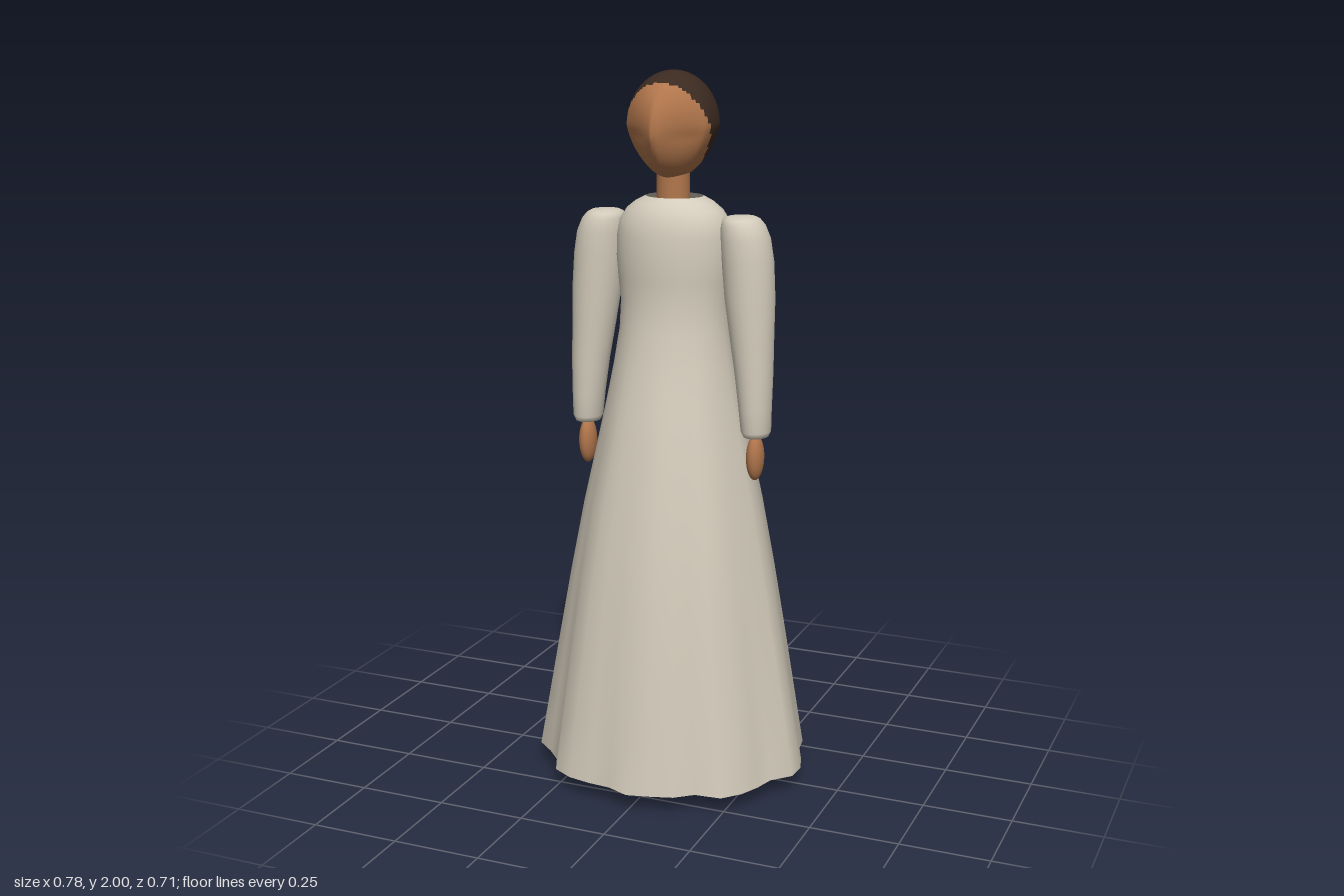
import * as THREE from 'three';

const fabric = new THREE.MeshStandardMaterial({ color: 0xd3cbbb, side: THREE.DoubleSide });
fabric.name = 'cream fabric';
const skin = new THREE.MeshStandardMaterial({ color: 0xb1764c });
skin.name = 'brown skin';
const hair = new THREE.MeshStandardMaterial({ color: 0x3b2a20 });
hair.name = 'dark hair';

// Closed rings stacked from bottom to top; point(row, column) returns [x, y, z]
function loft(rows, cols, point, isSecond) {
  const pos = [], first = [], second = [];
  for (let i = 0; i < rows; i++)
    for (let j = 0; j < cols; j++) pos.push(...point(i, j));
  for (let i = 0; i < rows - 1; i++)
    for (let j = 0; j < cols; j++) {
      const k = (j + 1) % cols;
      const a = i * cols + j, b = i * cols + k, c = b + cols, d = a + cols;
      (isSecond && isSecond(i, j) ? second : first).push(a, b, c, a, c, d);
    }
  const geo = new THREE.BufferGeometry();
  geo.setAttribute('position', new THREE.Float32BufferAttribute(pos, 3));
  geo.setIndex([...first, ...second]);
  geo.addGroup(0, first.length, 0);
  geo.addGroup(first.length, second.length, 1);
  geo.computeVertexNormals();
  return geo;
}

function add(parent, name, geo, mat, x = 0, y = 0, z = 0) {
  const mesh = new THREE.Mesh(geo, mat);
  mesh.name = name;
  mesh.position.set(x, y, z);
  parent.add(mesh);
  return mesh;
}

const ellipsoid = (rx, ry, rz) => new THREE.SphereGeometry(1, 24, 16).scale(rx, ry, rz);

// Gown: elliptical sections whose folds deepen towards the hem
function gownGeometry() {
  const sections = [ // y, half width, half depth
    [0.05, 0.37, 0.34], [0.2, 0.347, 0.324], [0.4, 0.316, 0.302], [0.6, 0.284, 0.276],
    [0.8, 0.249, 0.244], [1.0, 0.208, 0.204], [1.1, 0.188, 0.18], [1.2, 0.17, 0.156],
    [1.3, 0.155, 0.135], [1.38, 0.152, 0.125], [1.44, 0.159, 0.128], [1.5, 0.164, 0.13],
    [1.56, 0.162, 0.128], [1.6, 0.155, 0.12], [1.63, 0.135, 0.107], [1.65, 0.11, 0.09], [1.665, 0.08, 0.072],
  ];
  const folds = [ // hem radius factor every ten degrees
    1.04, 1.01, 1, 0.95, 1.05, 1.035, 1, 0.97, 1.056, 1.05, 1.015, 0.99,
    1.045, 1.06, 0.99, 0.99, 1.02, 1.06, 0.975, 1.01, 1.03, 1.08, 0.99, 1.02,
    1.06, 1.09, 1.015, 1.015, 1.065, 1.075, 1, 0.985, 1.06, 1.05, 1.01, 0.98,
  ];
  return loft(sections.length, 36, (i, j) => {
    const [y, rx, rz] = sections[i], a = j * Math.PI / 18;
    const w = Math.max(0, 1 - (y - 0.05) / 1.3);
    const f = 1 + (folds[j] - 1) * w;
    return [rx * f * Math.sin(a), y, rz * f * Math.cos(a)];
  });
}

// Sleeve: round sections along a slightly outward-hanging arm
function sleeveGeometry(side) {
  const sections = [ // y, centre x, centre z, half width, half depth
    [1.02, 0.253, 0.02, 0, 0], [1.02, 0.253, 0.02, 0.034, 0.042], [1.035, 0.253, 0.02, 0.041, 0.049],
    [1.1, 0.25, 0.02, 0.045, 0.053], [1.2, 0.244, 0.017, 0.053, 0.058], [1.3, 0.235, 0.012, 0.061, 0.064],
    [1.4, 0.227, 0.008, 0.069, 0.071], [1.5, 0.219, 0.005, 0.071, 0.074], [1.56, 0.212, 0.005, 0.068, 0.073],
    [1.595, 0.205, 0.005, 0.06, 0.066], [1.612, 0.2, 0.005, 0.05, 0.055], [1.618, 0.2, 0.005, 0.038, 0.042], [1.62, 0.2, 0.005, 0, 0],
  ];
  return loft(sections.length, 24, (i, j) => {
    const [y, cx, cz, rx, rz] = sections[i], a = j * Math.PI / 12;
    return [side * cx + rx * Math.sin(a), y, cz + rz * Math.cos(a)];
  });
}

// Head: sphere with a wedge-shaped face and narrowed jaw; faces behind the hairline are hair
function headGeometry() {
  const rows = 49, cols = 64;
  const point = (i, j) => {
    const lat = -Math.PI / 2 + Math.PI * i / (rows - 1), a = j * 2 * Math.PI / cols;
    const r = Math.cos(lat), h = Math.sin(lat), y = 1.855 + 0.145 * h;
    const s = Math.sin(a), c = Math.cos(a);
    let depth = c;
    if (c > 0) {
      const w = Math.max(0, 1 - Math.abs(y - 1.83) / 0.14);
      const wedge = Math.min(1.12 * c, 1.12 - 0.8 * Math.abs(s));
      depth += (wedge - c) * w;
    }
    const jaw = 1 + 0.25 * Math.min(0, h);
    return [0.123 * jaw * r * s, y, 0.14 * r * depth];
  };
  const isHair = (i, j) => {
    const p = point(i, j), q = point(i + 1, j + 1);
    const y = (p[1] + q[1]) / 2 - 1.785, z = (p[2] + q[2]) / 2;
    return z < y * (y > 0 ? 0.46 : 0.9);
  };
  return loft(rows, cols, point, isHair);
}

export function createModel() {
  const model = new THREE.Group();
  model.name = 'figure in gown';

  add(model, 'gown', gownGeometry(), fabric);

  const body = new THREE.Group();
  body.name = 'body';
  body.position.x = -0.004;
  model.add(body);

  add(body, 'head', headGeometry(), [skin, hair]);
  add(body, 'neck', new THREE.CylinderGeometry(0.045, 0.047, 0.2, 24), skin, 0, 1.66, 0);

  for (const [side, label] of [[1, 'left'], [-1, 'right']]) {
    add(body, label + 'Sleeve', sleeveGeometry(side), fabric);
    add(body, label + 'Hand', ellipsoid(0.024, 0.065, 0.034), skin, side * 0.253, 0.96, 0.024);
    add(body, label + 'Leg', new THREE.CylinderGeometry(0.058, 0.038, 0.8, 20), skin, side * 0.097, 0.45, -0.01);
    add(body, label + 'Foot', ellipsoid(0.05, 0.045, 0.108), skin, side * 0.097, 0.045, 0.037);
  }
  return model;
}
